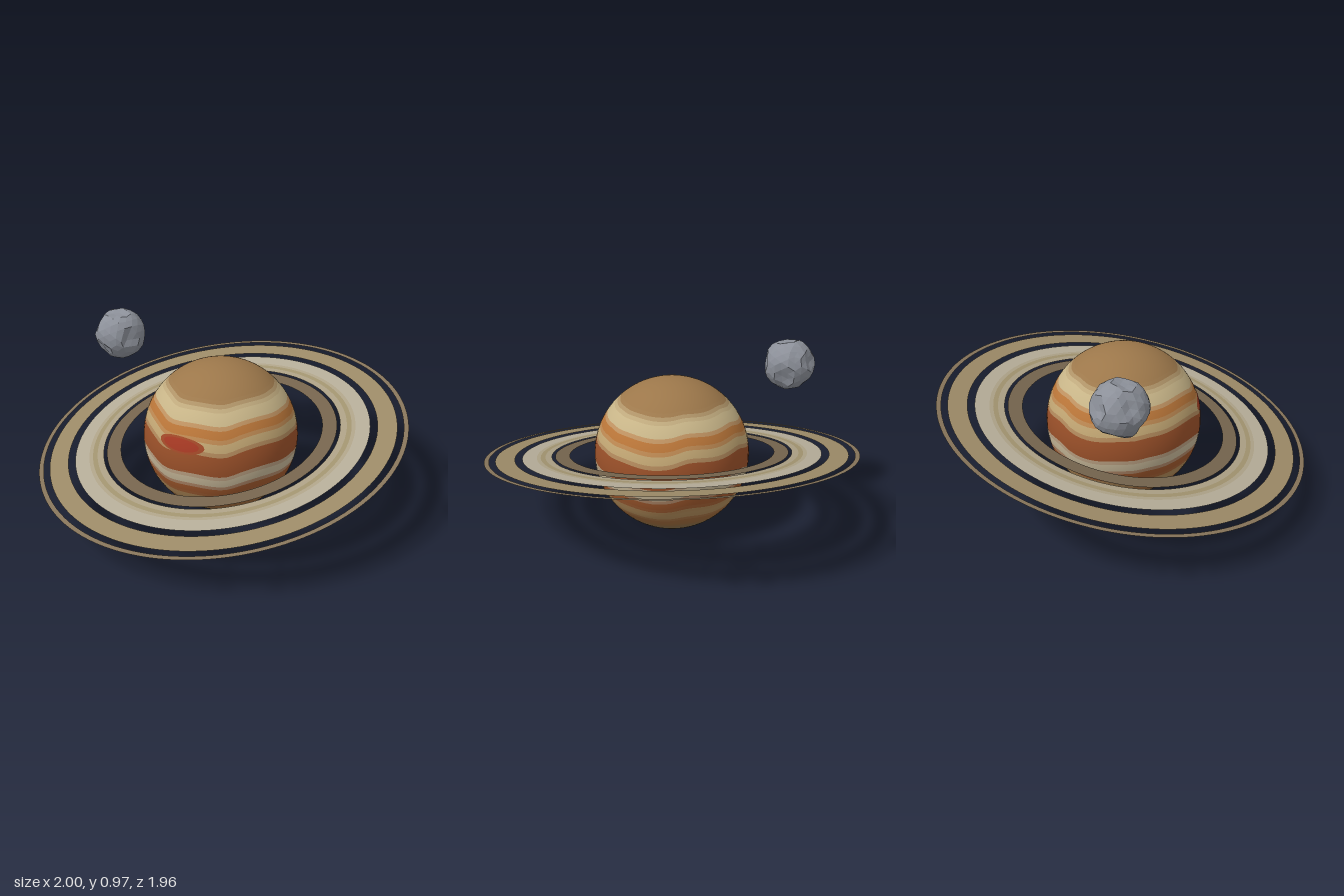
import * as THREE from 'three';

const R = 0.417;        // planet radius
const CENTRE_Y = 0.418;

function addMesh(parent, name, geometry, color, options = {}) {
  const mesh = new THREE.Mesh(geometry, new THREE.MeshStandardMaterial({ color, ...options }));
  mesh.name = name;
  parent.add(mesh);
  return mesh;
}

// Height above the south pole -> cloud colour
const CLOUDS = [
  [0.00, 0x94794f], [0.10, 0x8c7048], [0.135, 0x9c6a3a], [0.175, 0xa0683a], [0.20, 0xb08a58],
  [0.235, 0xb08a58], [0.26, 0xa0582c], [0.31, 0xa0582c], [0.335, 0xc4b596], [0.375, 0xc4b596],
  [0.405, 0x9a5029], [0.50, 0x9a5029], [0.525, 0xc2a673], [0.56, 0xc2a673], [0.585, 0xba7639],
  [0.625, 0xba7639], [0.65, 0xc8b588], [0.695, 0xc8b588], [0.735, 0x9c774a], [0.84, 0x9c774a],
];

function cloudColor(y) {
  const i = Math.max(1, CLOUDS.findIndex(([h]) => h >= y));
  const [h0, c0] = CLOUDS[i - 1];
  const [h1, c1] = CLOUDS[i];
  return new THREE.Color(c0).lerp(new THREE.Color(c1), (y - h0) / (h1 - h0));
}

// Thin latitude strip whose edges step up and down around the sphere
function cloudStrip(theta, height) {
  const geo = new THREE.SphereGeometry(R, 72, 1, 0, Math.PI * 2, theta, height);
  const pos = geo.attributes.position;
  const p = new THREE.Vector3();
  for (let i = 0; i < pos.count; i++) {
    p.fromBufferAttribute(pos, i);
    const lat = Math.acos(THREE.MathUtils.clamp(p.y / R, -1, 1));
    const lon = Math.atan2(p.x, p.z);
    const wave = Math.tanh(3 * Math.sin(3 * lon)) + 0.5 * Math.sin(7 * lon + 1);
    const t = lat + 0.035 * wave * Math.sin(lat) ** 2;
    p.setFromSphericalCoords(R, t, lon);
    pos.setXYZ(i, p.x, p.y, p.z);
    p.normalize();
    geo.attributes.normal.setXYZ(i, p.x, p.y, p.z);
  }
  return geo;
}

// Oval patch wrapped on the sphere, just proud of the clouds
function stormOval(width, height) {
  const geo = new THREE.RingGeometry(0, 1, 32, 5);
  const pos = geo.attributes.position;
  const p = new THREE.Vector3();
  for (let i = 0; i < pos.count; i++) {
    const lon = 0.36 + pos.getX(i) * width;
    const lat = 1.30 - pos.getY(i) * height;
    p.setFromSphericalCoords(R + 0.0015, lat, lon);
    pos.setXYZ(i, p.x, p.y, p.z);
    p.normalize();
    geo.attributes.normal.setXYZ(i, p.x, p.y, p.z);
  }
  return geo;
}

// Faceted rock with sunken craters
function moonGeometry(radius) {
  const geo = new THREE.IcosahedronGeometry(1, 3);
  const craters = [
    [0, -0.5, 0.86], [0.05, 1, 0.1], [0.95, 0.1, 0.15], [-0.75, 0.3, -0.6],
    [0.4, -0.3, -0.85], [-0.5, -0.8, -0.1], [-0.7, 0.45, 0.6],
  ].map((c) => new THREE.Vector3(...c).normalize());
  const pos = geo.attributes.position;
  const p = new THREE.Vector3();
  for (let i = 0; i < pos.count; i++) {
    p.fromBufferAttribute(pos, i).normalize();
    let r = 1 + 0.025 * Math.sin(9 * p.x + 4 * p.y) * Math.cos(8 * p.z - 5 * p.y);
    for (const c of craters) {
      r -= 0.14 * (1 - THREE.MathUtils.smoothstep(p.angleTo(c), 0.2, 0.42));
    }
    p.multiplyScalar(r * radius);
    pos.setXYZ(i, p.x, p.y, p.z);
  }
  geo.computeVertexNormals();
  return geo;
}

export function createModel() {
  const model = new THREE.Group();
  model.name = 'ringedPlanet';

  // Planet with blended cloud bands
  const planet = new THREE.Group();
  planet.name = 'planet';
  planet.position.y = CENTRE_Y;
  model.add(planet);
  const strips = 60;
  const step = Math.PI / strips;
  for (let i = 0; i < strips; i++) {
    const y = R + R * Math.cos((i + 0.5) * step);
    addMesh(planet, 'cloudBand', cloudStrip(i * step, step), cloudColor(y));
  }
  addMesh(planet, 'stormOuter', stormOval(0.33, 0.105), 0xa34a29);
  addMesh(planet, 'stormCore', stormOval(0.26, 0.08), 0xa83a24).scale.setScalar(1.002);

  // Flat rings, tipped down at the front: inner radius, outer radius, colour
  const rings = new THREE.Group();
  rings.name = 'rings';
  rings.position.y = 0.42;
  rings.rotation.x = 0.19;
  model.add(rings);
  const bands = [
    ['innerRing', 0.55, 0.628, 0x75644d],
    ['middleRingInner', 0.645, 0.68, 0xaca085],
    ['middleRingTan', 0.68, 0.705, 0xa1936f],
    ['middleRingFade', 0.705, 0.725, 0xaea388],
    ['middleRingOuter', 0.725, 0.802, 0xb5ac98],
    ['outerRing', 0.84, 0.942, 0x9c8a67],
    ['rimRing', 0.975, 1.0, 0x86745a],
  ];
  for (const [name, inner, outer, color] of bands) {
    const geo = new THREE.RingGeometry(inner, outer, 128).rotateX(-Math.PI / 2);
    addMesh(rings, name, geo, color, { side: THREE.DoubleSide });
  }

  // Small cratered moon
  const moon = addMesh(model, 'moon', moonGeometry(0.14), 0x8c9099, { flatShading: true });
  moon.position.set(-0.668, 0.838, 0.187);

  return model;
}
